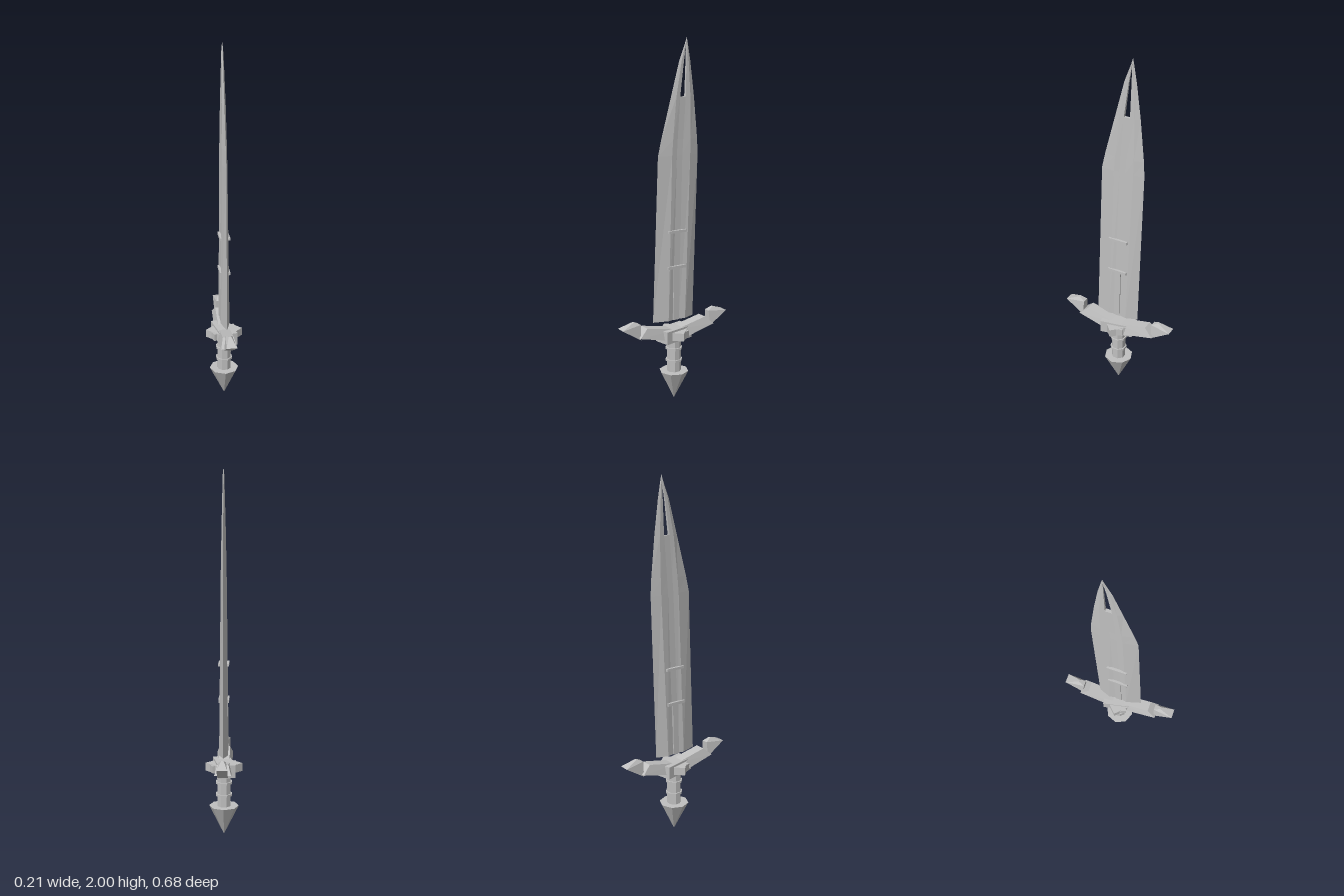
import * as THREE from 'three';
import { ConvexGeometry } from 'three/addons/geometries/ConvexGeometry.js';

const steel = new THREE.MeshStandardMaterial({ color: 0xc0c0c0 });
steel.name = 'steel grey';
steel.flatShading = true;

// Joins horizontal sections of [x, z] points, counter-clockwise from above
function loft(levels) {
  const pos = [];
  const put = (l, i) => {
    const p = l.points[i % l.points.length];
    pos.push(p[0], l.y, p[1]);
  };
  const n = levels[0].points.length;
  for (let k = 0; k < levels.length - 1; k++) {
    const a = levels[k], b = levels[k + 1];
    for (let i = 0; i < n; i++) {
      put(a, i); put(a, i + 1); put(b, i + 1);
      put(a, i); put(b, i + 1); put(b, i);
    }
  }
  const bottom = levels[0], top = levels[levels.length - 1];
  for (let i = 1; i < n - 1; i++) {
    put(bottom, 0); put(bottom, i + 1); put(bottom, i);
    put(top, 0); put(top, i); put(top, i + 1);
  }
  const g = new THREE.BufferGeometry();
  g.setAttribute('position', new THREE.Float32BufferAttribute(pos, 3));
  g.computeVertexNormals();
  return g;
}

// Hull of [halfWidth, y, z] edges mirrored across x
function wedge(edges) {
  return new ConvexGeometry(edges.flatMap(([x, y, z]) =>
    [new THREE.Vector3(x, y, z), new THREE.Vector3(-x, y, z)]));
}

export function createModel() {
  const model = new THREE.Group();
  model.name = 'sword';

  function add(name, geometry, x = 0, y = 0, z = 0, turn = 0) {
    const m = new THREE.Mesh(geometry, steel);
    m.name = name;
    m.position.set(x, y, z);
    m.rotation.y = turn;
    model.add(m);
    return m;
  }

  // Blade: y, front edge, front ridge, groove front, groove back, back ridge, back edge, ridge and groove half widths
  const rows = [
    [0.47, 0.136, 0.05, 0.02, -0.02, -0.058, -0.124, 0.025, 0.018],
    [1.385, 0.10, 0.02, -0.012, -0.047, -0.095, -0.153, 0.015, 0.011],
    [1.47, 0.08, 0.013, -0.018, -0.053, -0.097, -0.149, 0.014, 0.010],
    [1.695, 0.018, -0.01, -0.035, -0.07, -0.098, -0.127, 0.010, 0.008],
    [1.88, -0.033, -0.045, -0.06, -0.0755, -0.089, -0.103, 0.006, 0.005],
    [1.97, -0.069, -0.072, -0.0765, -0.0775, -0.083, -0.087, 0.004, 0.003],
    [2.0, -0.079, -0.0795, -0.08, -0.08, -0.0805, -0.081, 0.001, 0.001],
  ];
  const strip = (list, section) =>
    loft(list.map(([y, ...r]) => ({ y, points: section(...r) })));
  add('bladeFront', strip(rows, (f, rf, sf, sb, rb, b, t, g) =>
    [[0, f], [t, rf], [g, sf], [-g, sf], [-t, rf]]));
  add('bladeBack', strip(rows, (f, rf, sf, sb, rb, b, t, g) =>
    [[g, sb], [t, rb], [0, b], [-t, rb], [-g, sb]]));
  // The groove floor stops below the open slot at the tip
  add('bladeGroove', strip(rows.slice(0, 4), (f, rf, sf, sb, rb, b, t, g) =>
    [[-g, sf], [g, sf], [g, sb], [-g, sb]]));

  // Rib in the groove and the two clasps
  const rib = add('bladeRib', new THREE.BoxGeometry(0.046, 0.3, 0.036), 0, 0.62, -0.003);
  rib.rotation.x = -0.02;
  add('lowerClasp', new THREE.BoxGeometry(0.058, 0.016, 0.114), 0, 0.772, -0.004);
  add('upperClasp', new THREE.BoxGeometry(0.058, 0.014, 0.114), 0, 0.972, -0.01);

  // Guard centre: blocks turned against each other
  add('guardBlock', new THREE.BoxGeometry(0.094, 0.072, 0.19), 0, 0.386, 0, 0.21);
  add('guardDiamond', new THREE.BoxGeometry(0.145, 0.045, 0.145), 0, 0.388, 0, Math.PI / 4);
  add('guardCrossBlock', new THREE.BoxGeometry(0.16, 0.04, 0.068), 0, 0.388, 0, 0.39);

  // Guard arms with pointed ends, front and back
  const arm = wedge([
    [0.045, 0.35, 0], [0.045, 0.41, 0.24],
    [0.03, 0.455, 0.19], [0.03, 0.415, 0],
  ]);
  const point = wedge([
    [0.028, 0.467, 0.34], [0.028, 0.395, 0.228],
    [0.006, 0.498, 0.26], [0.018, 0.48, 0.224],
  ]);
  for (const [side, turn] of [['front', 0], ['back', Math.PI]]) {
    add(side + 'GuardArm', arm, 0, 0, 0, turn);
    add(side + 'GuardPoint', point, 0, 0, 0, turn);
  }

  // Grip with rings
  add('grip', new THREE.CylinderGeometry(0.04, 0.04, 0.2, 8), 0, 0.26, 0, Math.PI / 8);
  for (const y of [0.23, 0.3]) {
    add('gripRing', new THREE.CylinderGeometry(0.048, 0.048, 0.012, 8), 0, y, 0, Math.PI / 8);
  }

  // Pommel: spike pointing down
  add('pommel', new THREE.CylinderGeometry(0.083, 0.001, 0.165, 8), 0, 0.0825, 0);

  return model;
}
